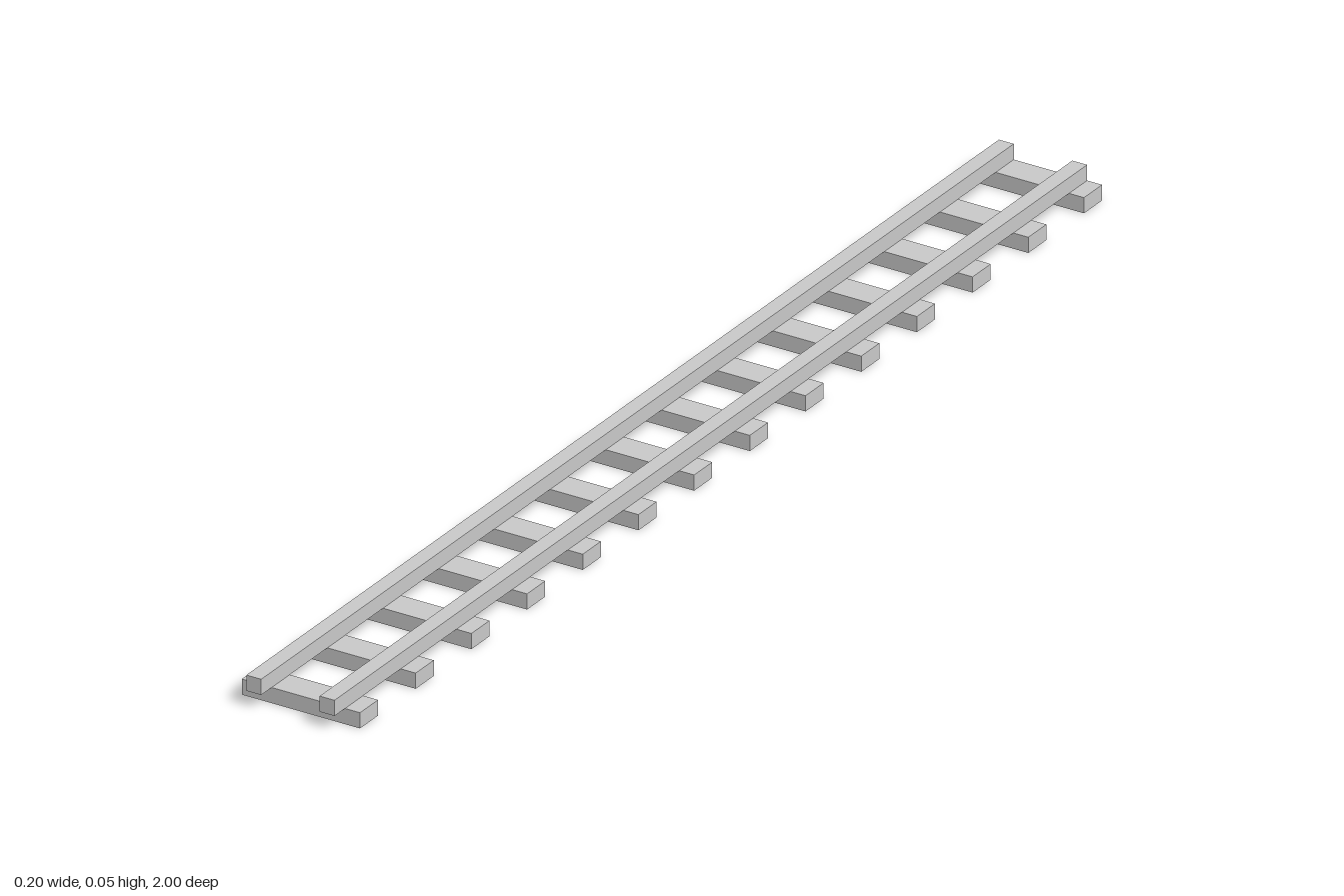
import * as THREE from 'three';

export function createModel() {
  const group = new THREE.Group();
  group.name = 'railwayTrack';
  const material = new THREE.MeshStandardMaterial({ color: 0xcccccc, flatShading: true });

  const addBox = (name, w, h, d, x, y, z) => {
    const mesh = new THREE.Mesh(new THREE.BoxGeometry(w, h, d), material);
    mesh.name = name;
    mesh.position.set(x, y, z);
    group.add(mesh);
  };

  const half = 0.025; // height of the sleeper layer and of the rail layer

  // Sleepers: the rearmost is flush with the rail ends, the front one sits slightly back
  const count = 14, spacing = 0.148, depth = 0.048;
  for (let i = 0; i < count; i++) {
    addBox(`sleeper${i + 1}`, 0.199, half, depth, 0, half / 2, -1 + depth / 2 + i * spacing);
  }

  // Two square rails running the full length
  for (const side of [-1, 1]) {
    addBox(side > 0 ? 'leftRail' : 'rightRail', 0.025, half, 2, side * 0.0618, half * 1.5, 0);
  }

  return group;
}
